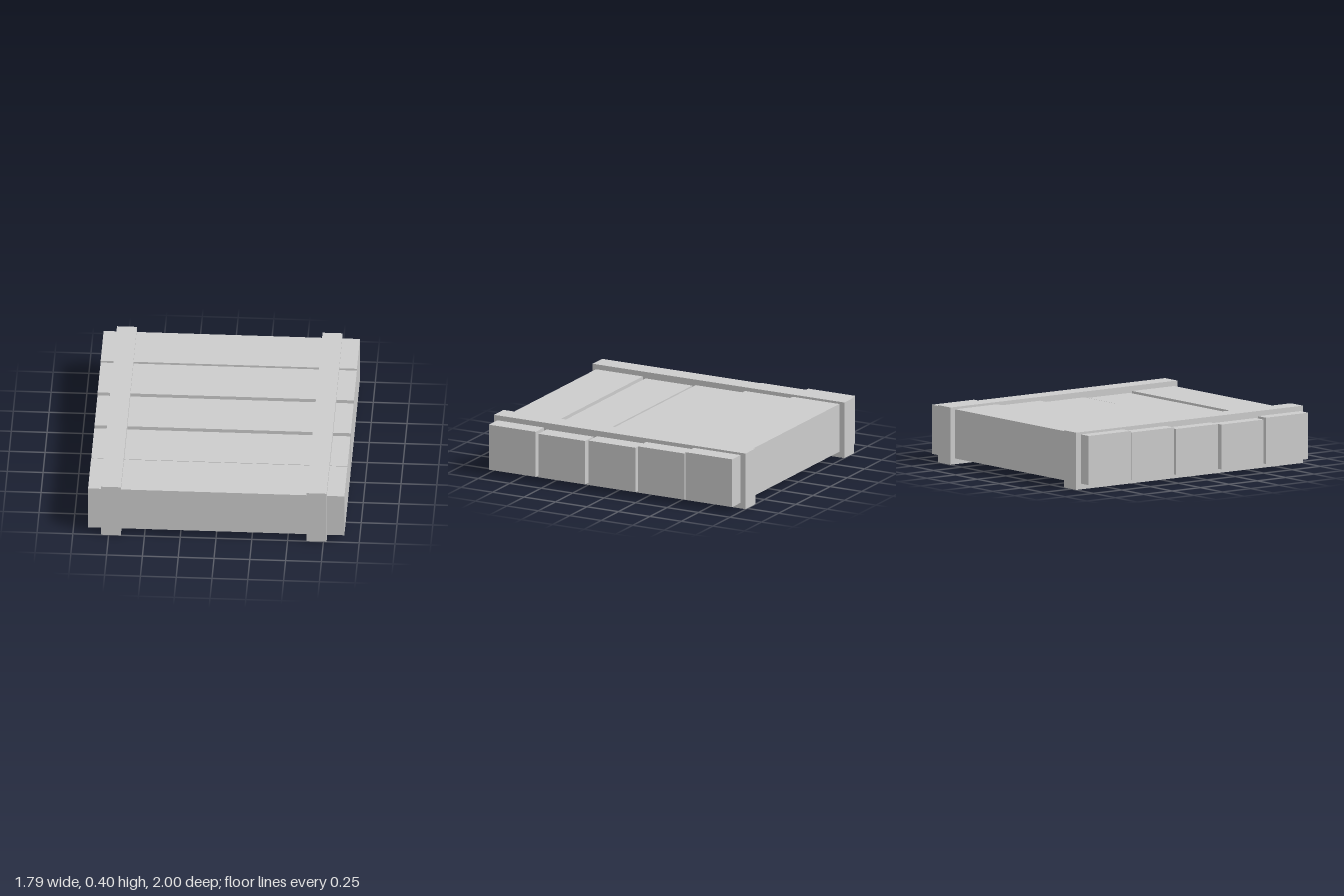
import * as THREE from 'three';

const material = new THREE.MeshStandardMaterial({ color: 0xcccccc, side: THREE.DoubleSide });

// Box given by its extents, with the underside left open
function openBox(name, x0, x1, y0, y1, z0, z1) {
  const geometry = new THREE.BoxGeometry(x1 - x0, y1 - y0, z1 - z0);
  const index = Array.from(geometry.index.array);
  index.splice(18, 6); // drop the bottom face
  geometry.setIndex(index);
  geometry.clearGroups();
  const mesh = new THREE.Mesh(geometry, material);
  mesh.name = name;
  mesh.position.set((x0 + x1) / 2, (y0 + y1) / 2, (z0 + z1) / 2);
  return mesh;
}

export function createModel() {
  const model = new THREE.Group();
  model.name = 'plankPlatform';

  // Five thick planks, back to front: [centre z, top height]
  const planks = [[-0.774, 0.388], [-0.396, 0.377], [-0.006, 0.364], [0.394, 0.357], [0.787, 0.368]];
  const half = 0.186;
  planks.forEach(([z, top], i) => {
    model.add(openBox(`plank${i + 1}`, -0.895, 0.895, 0.041, top, z - half, z + half));
  });

  // Two straps wrapped across the planks
  model.add(openBox('rightStrap', -0.804, -0.665, 0, 0.404, -1, 1));
  model.add(openBox('leftStrap', 0.632, 0.772, 0, 0.404, -1, 1));

  return model;
}
